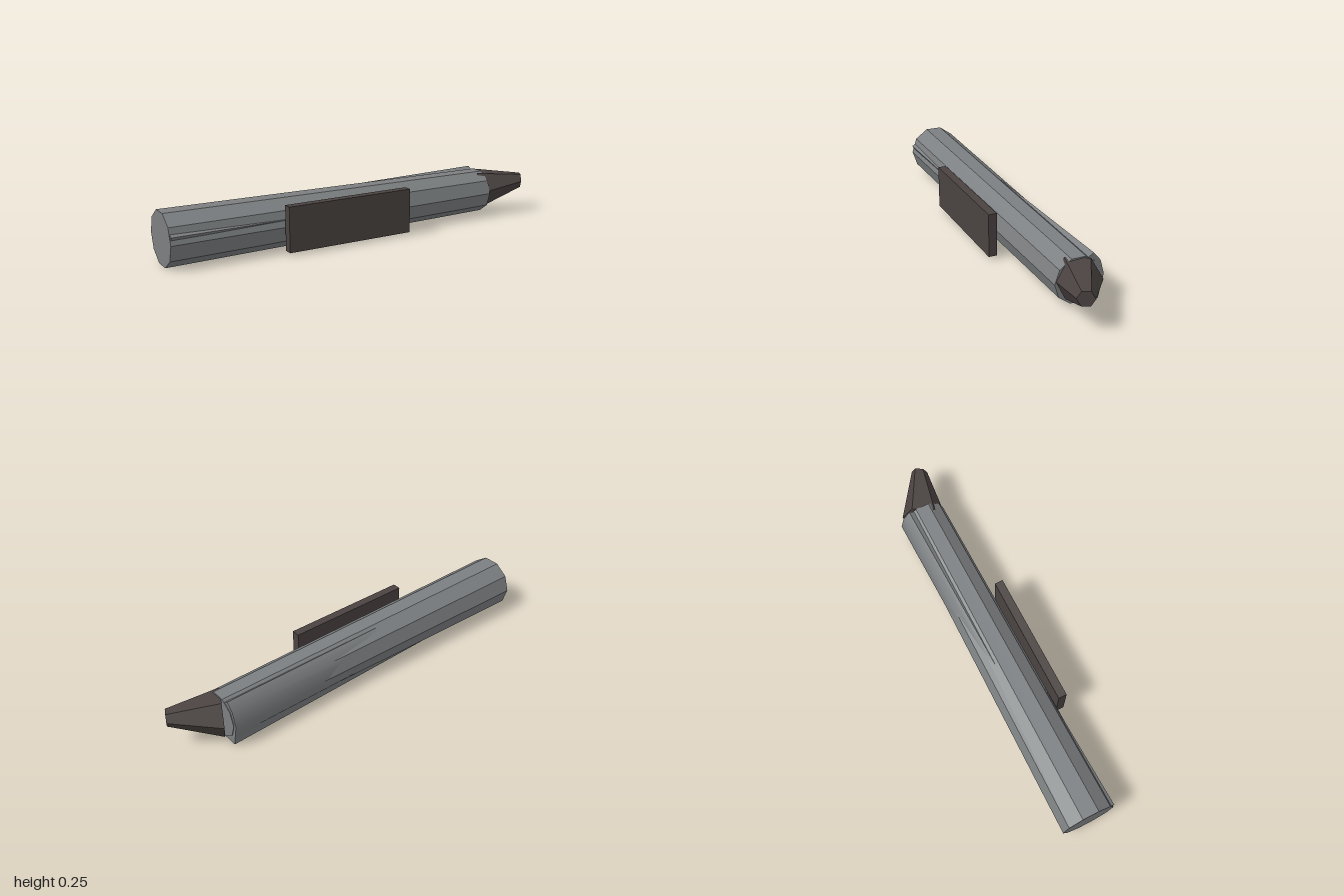
import * as THREE from 'three';
import { toCreasedNormals } from 'three/addons/utils/BufferGeometryUtils.js';

// Closed solid between two rings of points [x, y, z], counter-clockwise seen from +x
function loft(rear, front) {
  const n = rear.length;
  const index = [];
  for (let i = 0; i < n; i++) {
    const j = (i + 1) % n;
    index.push(i, j, n + j, i, n + j, n + i);
  }
  for (let i = 1; i < n - 1; i++) {
    index.push(0, i + 1, i, n, n + i, n + i + 1);
  }
  const geometry = new THREE.BufferGeometry();
  geometry.setAttribute('position', new THREE.Float32BufferAttribute([...rear, ...front].flat(), 3));
  geometry.setIndex(index);
  return geometry;
}

// Hexagonal ring turned about y, used for both ends of the nose
function noseRing(cx, cy, cz, radius) {
  const turn = 0.48;
  return Array.from({ length: 6 }, (_, i) => {
    const a = (i * Math.PI) / 3;
    const side = radius * Math.cos(a);
    return [cx + side * Math.sin(turn), cy + radius * Math.sin(a), cz - side * Math.cos(turn)];
  });
}

export function createModel() {
  const group = new THREE.Group();
  const grey = new THREE.MeshStandardMaterial({ color: 0x7c7f81, flatShading: true });
  grey.name = 'metal grey';
  const smoothGrey = new THREE.MeshStandardMaterial({ color: 0x7c7f81, side: THREE.DoubleSide });
  smoothGrey.name = 'smooth metal grey';
  const dark = new THREE.MeshStandardMaterial({ color: 0x4a4341, flatShading: true });
  dark.name = 'dark brown';

  const add = (name, geometry, material) => {
    const mesh = new THREE.Mesh(geometry, material);
    mesh.name = name;
    group.add(mesh);
    return mesh;
  };

  // Ten-sided tapering barrel lying along x
  const barrel = new THREE.CylinderGeometry(0.113, 0.1325, 1.76, 10);
  barrel.rotateZ(-Math.PI / 2);
  add('barrel', barrel, grey).position.set(-0.12, 0.127, -0.022);

  // Twisted inner body that breaks through the barrel near its ends, as [z, y]
  const frontSection = [[-0.01, 0.013], [-0.125, 0.013], [-0.136, 0.07], [-0.149, 0.13],
    [-0.13, 0.2], [-0.095, 0.242], [-0.07, 0.225], [0.06, 0.15]];
  const rearSection = [[0.02, 0.01], [-0.06, 0.004], [-0.11, 0.06], [-0.12, 0.127],
    [-0.105, 0.18], [-0.06, 0.225], [0.01, 0.225], [0.112, 0.165]];
  const at = (x, section) => section.map(([z, y]) => [x, y, z]);
  const body = loft(at(-0.997, rearSection), at(0.757, frontSection));
  add('innerBody', toCreasedNormals(body, 0.9), smoothGrey);

  // Bent six-sided nose
  add('nose', loft(noseRing(0.747, 0.13, -0.022, 0.114), noseRing(0.982, 0.17, 0.064, 0.04)), dark);

  // Flat plate along the front side
  add('sidePlate', new THREE.BoxGeometry(0.66, 0.22, 0.042), dark).position.set(-0.12, 0.127, 0.134);

  return group;
}
